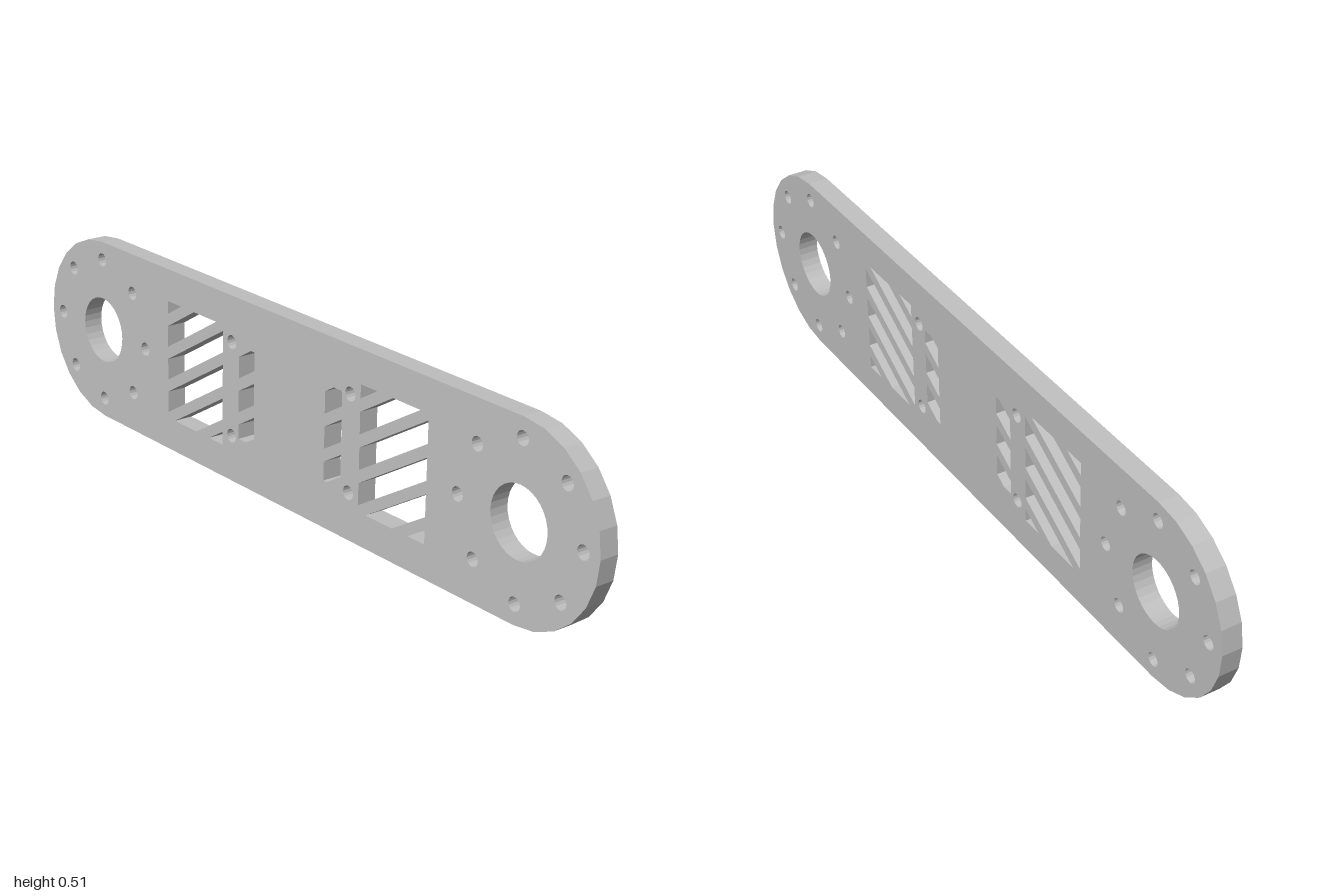
import * as THREE from 'three';

const HALF = 0.765, RADIUS = 0.235, THICK = 0.05;

// Points on an arc, evenly stepped
function arc(cx, cy, r, from, to, steps) {
  return Array.from({ length: steps + 1 }, (_, i) => {
    const a = from + (to - from) * i / steps;
    return new THREE.Vector2(cx + r * Math.cos(a), cy + r * Math.sin(a));
  });
}

// Keep the part of a polygon where sign * y <= limit
function clip(points, sign, limit) {
  const out = [];
  points.forEach((p, i) => {
    const q = points[(i + 1) % points.length];
    const dp = limit - sign * p.y, dq = limit - sign * q.y;
    if (dp >= 0) out.push(p);
    if (dp * dq < 0) out.push(p.clone().lerp(q, dp / (dp - dq)));
  });
  return out;
}

export function createModel() {
  const group = new THREE.Group();
  const steel = new THREE.MeshStandardMaterial({ color: 0xc0c0c0 });
  steel.name = 'light grey';

  // Rounded bar outline
  const outline = new THREE.Shape([
    ...arc(HALF, 0, RADIUS, -Math.PI / 2, Math.PI / 2, 12),
    ...arc(-HALF, 0, RADIUS, Math.PI / 2, Math.PI * 1.5, 12),
  ]);
  const cut = (points) => outline.holes.push(new THREE.Path(points));
  const hole = (x, y, r, n) => cut(arc(x, y, r, 0, Math.PI * 2, n).slice(0, -1));

  // Slanted vent slots in one window, following stripes centred on cx
  const slope = 0.6, pitch = 0.0857, half = 0.027;
  function vents(cx, x, halfWidth, halfHeight) {
    for (let k = -6.5; k <= 6.5; k++) {
      const at = (px, side) => new THREE.Vector2(px, k * pitch - slope * (px - cx) + side * half);
      const a = x - halfWidth, b = x + halfWidth;
      let slot = [at(a, -1), at(b, -1), at(b, 1), at(a, 1)];
      slot = clip(clip(slot, 1, halfHeight), -1, halfHeight);
      if (slot.length > 2) cut(slot);
    }
  }

  for (const s of [-1, 1]) {
    // Bore with its ring of bolt holes
    hole(s * HALF, 0, 0.085, 32);
    for (let i = 0; i < 8; i++) {
      const a = i * Math.PI / 4;
      hole(s * HALF + 0.187 * Math.cos(a), 0.187 * Math.sin(a), 0.0175, 16);
    }
    // Bolt holes between the vent windows
    for (const t of [-1, 1]) hole(s * 0.219, t * 0.119, 0.0175, 16);
    vents(s * 0.367, s * 0.367, 0.1125, 0.153);
    vents(s * 0.367, s * 0.161, 0.03, 0.118);
  }

  const geometry = new THREE.ExtrudeGeometry(outline, { depth: THICK, bevelEnabled: false });
  geometry.translate(0, 0, -THICK / 2);

  // Stand the plate on edge with its slight tilt
  const along = new THREE.Vector3(0.0278, -0.0229, -1).normalize();
  const up = new THREE.Vector3(0.036, 1, -0.0219).normalize();
  const out = new THREE.Vector3().crossVectors(along, up).normalize();
  up.crossVectors(out, along);
  geometry.applyMatrix4(new THREE.Matrix4().makeBasis(along, up, out));
  geometry.computeBoundingBox();
  geometry.translate(0, -geometry.boundingBox.min.y, 0);

  const plate = new THREE.Mesh(geometry, steel);
  plate.name = 'linkPlate';
  group.add(plate);
  return group;
}
